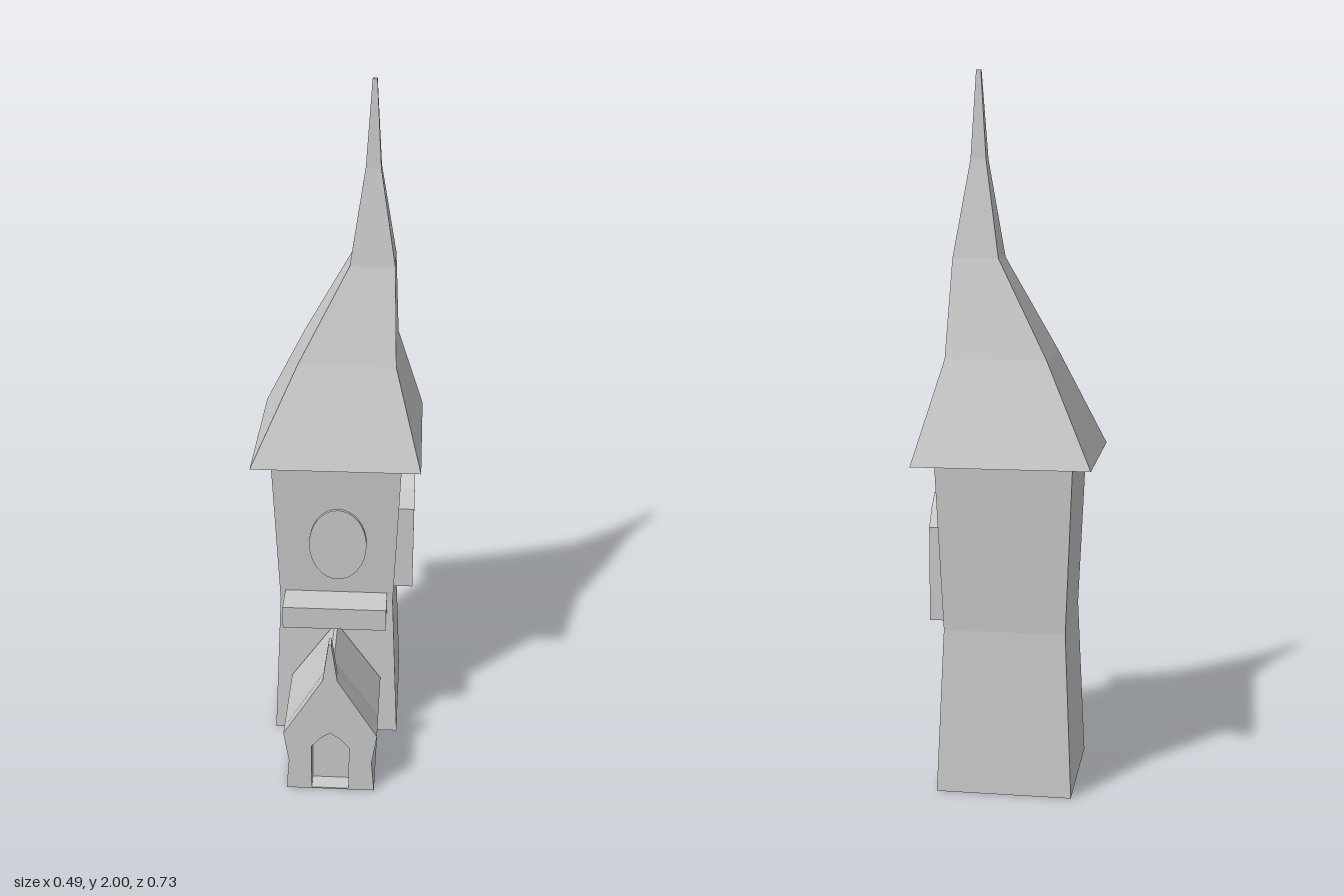
import * as THREE from 'three';

const material = new THREE.MeshStandardMaterial({ color: 0xcccccc, flatShading: true });

// Skin closed rings of [x, y, z] points, counter-clockwise about the direction of travel
function loft(rings, capStart = true, capEnd = true) {
  const pos = [];
  const tri = (a, b, c) => pos.push(...a, ...b, ...c);
  const n = rings[0].length;
  for (let i = 0; i < rings.length - 1; i++) {
    for (let j = 0; j < n; j++) {
      const k = (j + 1) % n;
      const [a, b, c, d] = [rings[i][j], rings[i][k], rings[i + 1][k], rings[i + 1][j]];
      tri(a, b, c);
      tri(a, c, d);
    }
  }
  const cap = (ring, flip) => {
    const mid = [0, 1, 2].map((k) => ring.reduce((s, p) => s + p[k], 0) / n);
    ring.forEach((p, j) => {
      const q = ring[(j + 1) % n];
      if (flip) tri(mid, q, p);
      else tri(mid, p, q);
    });
  };
  if (capStart) cap(rings[0], true);
  if (capEnd) cap(rings[rings.length - 1], false);
  const g = new THREE.BufferGeometry();
  g.setAttribute('position', new THREE.Float32BufferAttribute(pos, 3));
  g.computeVertexNormals();
  return g;
}

// Horizontal rectangle ring
const rect = (y, x0, x1, z0, z1) => [[x0, y, z1], [x1, y, z1], [x1, y, z0], [x0, y, z0]];
const atZ = (points, z) => points.map(([x, y]) => [x, y, z]);
const toShape = (points) => new THREE.Shape(points.map(([x, y]) => new THREE.Vector2(x, y)));

// Pointed arch outline: half width, base, spring height and apex
const arch = (w, base, spring, apex) => {
  const shoulder = spring + (apex - spring) * 0.6;
  return [[-w, base], [w, base], [w, spring], [w * 0.52, shoulder],
    [0, apex], [-w * 0.52, shoulder], [-w, spring]];
};

// Porch outline with waisted walls and a ridge of the given half width
const porchOutline = (ridge) => [[-0.13, 0], [0.13, 0], [0.122, 0.1], [0.137, 0.197],
  [ridge, 0.388], [-ridge, 0.388], [-0.137, 0.197], [-0.122, 0.1]];

export function createModel() {
  const model = new THREE.Group();
  const add = (name, geometry, parent = model) => {
    const mesh = new THREE.Mesh(geometry, material);
    mesh.name = name;
    parent.add(mesh);
    return mesh;
  };

  // Tower, pinched at mid height
  const zc = -0.117;
  add('tower', loft([[0, 0.19], [0.465, 0.17], [0.94, 0.19]]
    .map(([y, r]) => rect(y, -r, r, zc - r, zc + r))));

  // Crooked spire roof leaning to one side
  add('roof', loft([
    rect(0.937, -0.245, 0.245, -0.367, 0.123),
    rect(1.22, -0.113, 0.167, -0.262, 0.018),
    rect(1.49, 0.03, 0.158, -0.187, -0.058),
    rect(1.76, 0.071, 0.114, -0.143, -0.1),
    rect(2, 0.087, 0.1, -0.128, -0.115),
  ]));

  // Porch body, its ridge widening towards the front
  const porch = new THREE.Group();
  porch.name = 'porch';
  model.add(porch);
  const front = 0.365;
  add('porchBody', loft([[0.071, 0.005], [0.26, 0.005], [0.333, 0.021], [front, 0.021]]
    .map(([z, ridge]) => atZ(porchOutline(ridge), z)), true, false), porch);

  // Porch front with a recessed doorway
  const door = arch(0.055, 0.004, 0.153, 0.204);
  const facade = toShape(porchOutline(0.021));
  facade.holes.push(toShape(door));
  add('porchFront', new THREE.ShapeGeometry(facade).translate(0, 0, front), porch);
  add('doorway', loft([atZ(door, front), atZ(door, front - 0.05)], false, true), porch);

  // Small spike on the porch gable
  add('porchSpike', loft([
    rect(0.388, -0.021, 0.021, 0.333, front),
    rect(0.512, -0.004, 0.004, 0.333, front),
  ]), porch);

  // Ledge above the porch
  add('ledge', new THREE.BoxGeometry(0.308, 0.07, 0.11)).position.set(-0.001, 0.46, 0.098);

  // Oval window on the front
  const oval = add('ovalWindow', new THREE.CylinderGeometry(1, 1, 0.03, 32).rotateX(Math.PI / 2));
  oval.scale.set(0.085, 0.117, 1);
  oval.position.set(0.005, 0.668, 0.06);

  // Arched window projecting from the side
  const side = add('sideWindow', new THREE.ExtrudeGeometry(
    toShape(arch(0.08, 0.465, 0.735, 0.82)), { depth: 0.07, bevelEnabled: false }));
  side.rotation.y = Math.PI / 2;
  side.position.set(0.158, 0, zc);

  return model;
}
